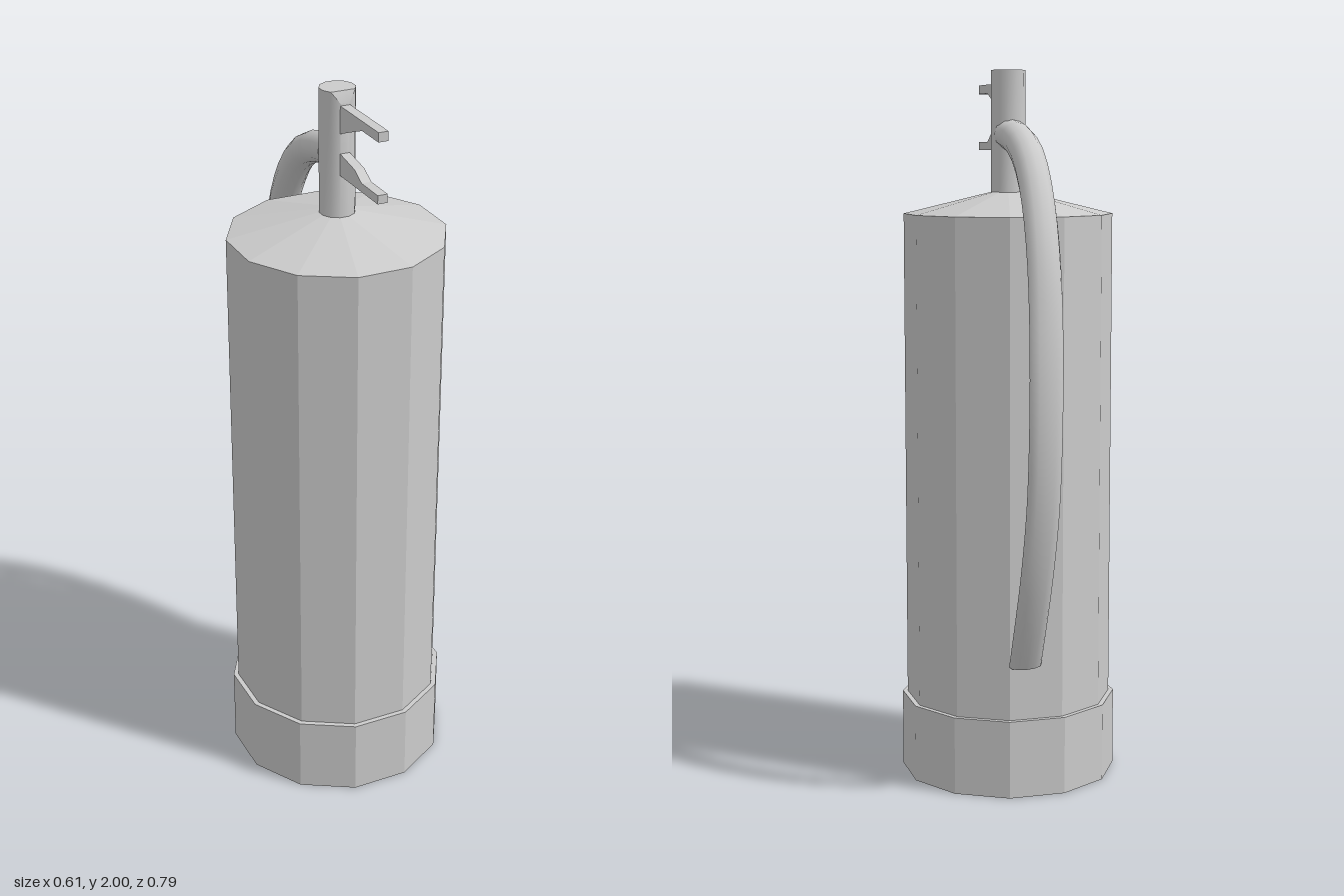
import * as THREE from 'three';
import { toCreasedNormals } from 'three/addons/utils/BufferGeometryUtils.js';

const TURN = Math.PI / 12; // the valve assembly is turned 15 degrees from the front
const AXIS_Z = 0.09; // the tank axis sits forward of the overall centre

const flat = new THREE.MeshStandardMaterial({ color: 0xcccccc, flatShading: true });
const smooth = new THREE.MeshStandardMaterial({ color: 0xcccccc });

function add(parent, name, geometry, material) {
  const mesh = new THREE.Mesh(geometry, material);
  mesh.name = name;
  parent.add(mesh);
}

// Twelve-sided drum or cone standing between two heights
function drum(rTop, rBottom, y0, y1, open = false) {
  return new THREE.CylinderGeometry(rTop, rBottom, y1 - y0, 12, 1, open).translate(0, (y0 + y1) / 2, 0);
}

// Neck with a small bevel cut into the front of its top rim
function neckGeometry(r, y0, y1) {
  const g = drum(r, r, y0, y1);
  const p = g.attributes.position;
  for (let i = 0; i < p.count; i++) {
    if (p.getY(i) < y1 - 0.001) continue;
    const x = p.getX(i), z = p.getZ(i);
    if (Math.hypot(x, z) < 0.001) {
      const d = r * Math.SQRT1_2;
      p.setXYZ(i, d * Math.sin(TURN), y1, d * Math.cos(TURN));
    } else if (Math.abs(Math.atan2(x, z) - TURN) < 0.3) {
      p.setY(i, y1 - 0.03);
    }
  }
  return toCreasedNormals(g, 0.6);
}

// Flat lever cut from a side profile of [distance from axis, height]
function leverGeometry(profile) {
  const width = 0.027;
  const shape = new THREE.Shape(profile.map(([d, y]) => new THREE.Vector2(d, y)));
  return new THREE.ExtrudeGeometry(shape, { depth: width, bevelEnabled: false })
    .translate(0, 0, -width / 2)
    .rotateY(TURN - Math.PI / 2);
}

// Hose swept along a curve, round at the valve and flattened below
function hoseGeometry(points, sides = 12, steps = 28) {
  const curve = new THREE.CatmullRomCurve3(points.map((p) => new THREE.Vector3(...p)));
  const across = new THREE.Vector3(Math.cos(TURN), 0, -Math.sin(TURN));
  const position = [], index = [];
  for (let i = 0; i <= steps; i++) {
    const t = i / steps;
    const c = curve.getPointAt(t);
    const tangent = curve.getTangentAt(t);
    const side = across.clone().addScaledVector(tangent, -across.dot(tangent)).normalize();
    const out = new THREE.Vector3().crossVectors(tangent, side).normalize();
    const thick = THREE.MathUtils.lerp(0.043, 0.016, THREE.MathUtils.smoothstep(t, 0.08, 0.48));
    for (let j = 0; j < sides; j++) {
      const a = (j / sides) * Math.PI * 2;
      const v = c.clone().addScaledVector(side, 0.046 * Math.cos(a)).addScaledVector(out, thick * Math.sin(a));
      position.push(v.x, v.y, v.z);
      if (i === steps) continue;
      const p = i * sides + j, q = i * sides + ((j + 1) % sides);
      index.push(p, q, p + sides, q, q + sides, p + sides);
    }
  }
  // End caps
  const last = steps * sides;
  for (let j = 1; j < sides - 1; j++) {
    index.push(0, j + 1, j, last, last + j, last + j + 1);
  }
  const g = new THREE.BufferGeometry();
  g.setAttribute('position', new THREE.Float32BufferAttribute(position, 3));
  g.setIndex(index);
  return toCreasedNormals(g, 0.9);
}

export function createModel() {
  const model = new THREE.Group();
  model.name = 'fireExtinguisher';

  // Tank
  const tank = new THREE.Group();
  tank.name = 'tank';
  tank.position.z = AXIS_Z;
  model.add(tank);
  add(tank, 'baseBand', drum(0.307, 0.307, 0, 0.22), flat);
  add(tank, 'body', drum(0.293, 0.293, 0.2, 1.605, true), flat);
  add(tank, 'shoulder', drum(0.047, 0.293, 1.605, 1.665, true), flat);

  // Valve and its two levers
  const valve = new THREE.Group();
  valve.name = 'valve';
  valve.position.z = AXIS_Z;
  model.add(valve);
  add(valve, 'neck', neckGeometry(0.048, 1.655, 2), smooth);
  add(valve, 'upperLever', leverGeometry([
    [0.03, 1.965], [0.03, 1.885], [0.05, 1.893], [0.13, 1.925], [0.17, 1.94], [0.26, 1.94], [0.26, 1.965],
  ]), flat);
  add(valve, 'lowerLever', leverGeometry([
    [0.03, 1.84], [0.03, 1.78], [0.26, 1.78], [0.26, 1.803], [0.17, 1.803], [0.13, 1.825], [0.05, 1.838],
  ]), flat);

  // Hose arching from the valve down the back
  add(model, 'hose', hoseGeometry([
    [-0.005, 1.825, 0.07], [-0.03, 1.805, -0.02], [-0.054, 1.753, -0.12], [-0.073, 1.655, -0.21],
    [-0.086, 1.51, -0.295], [-0.092, 1.3, -0.355], [-0.091, 1.06, -0.375], [-0.085, 0.85, -0.36],
    [-0.071, 0.66, -0.318], [-0.056, 0.51, -0.263], [-0.042, 0.375, -0.198],
  ]), smooth);

  return model;
}
